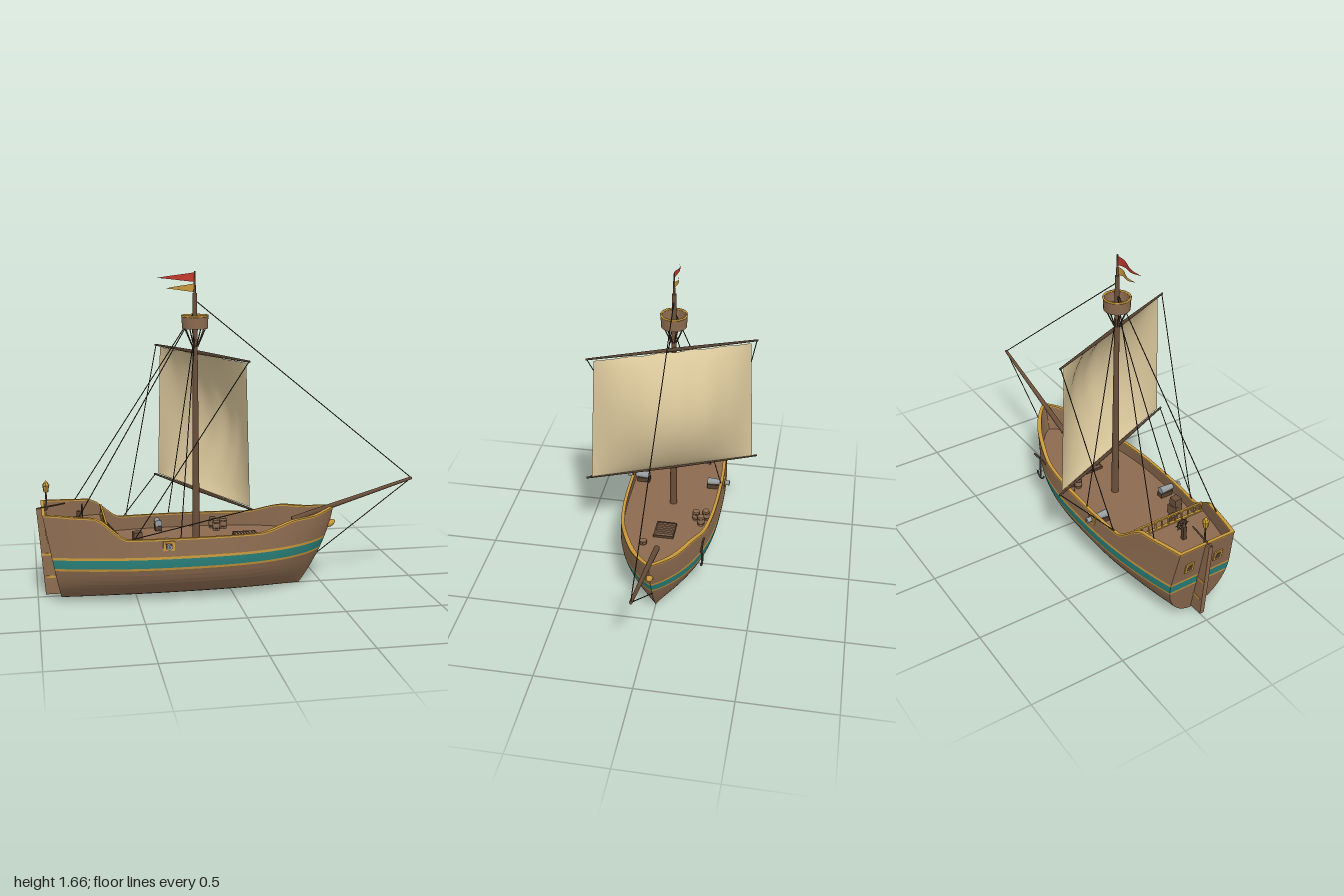
import * as THREE from 'three';
import { toCreasedNormals } from 'three/addons/utils/BufferGeometryUtils.js';

const mat = (name, color, side = THREE.FrontSide) => {
  const m = new THREE.MeshStandardMaterial({ color, side });
  m.name = name;
  return m;
};
const V = (x, y, z) => new THREE.Vector3(x, y, z);
const { lerp, smoothstep } = THREE.MathUtils;

export function createModel() {
  const M = {
    hull: mat('hullBrown', 0x8c6b50), mast: mat('mastBrown', 0x6a4f3a),
    dark: mat('darkWood', 0x54402f), rope: mat('rope', 0x3a3029), gold: mat('gold', 0xc9983b, THREE.DoubleSide),
    teal: mat('teal', 0x2a827d), red: mat('red', 0xc43a2e, THREE.DoubleSide),
    steel: mat('steel', 0x989da2), iron: mat('iron', 0x555c61), sail: mat('canvas', 0xd9c69a, THREE.DoubleSide),
  };
  const ship = new THREE.Group();
  ship.name = 'sailingShip';

  const add = (name, geo, m, x = 0, y = 0, z = 0, parent = ship) => {
    const mesh = new THREE.Mesh(geo, m);
    mesh.name = name;
    mesh.position.set(x, y, z);
    parent.add(mesh);
    return mesh;
  };
  const group = (name, x = 0, y = 0, z = 0) => {
    const g = new THREE.Group();
    g.name = name;
    g.position.set(x, y, z);
    ship.add(g);
    return g;
  };
  const box = (name, w, h, d, m, x, y, z, parent) => add(name, new THREE.BoxGeometry(w, h, d), m, x, y, z, parent);
  const lathe = (points, sides) =>
    toCreasedNormals(new THREE.LatheGeometry(points.map((p) => new THREE.Vector2(...p)), sides), 0.6);
  // round bar from a to b
  const bar = (name, a, b, r0, r1, m, parent, sides = 10) => {
    const d = b.clone().sub(a);
    const mesh = add(name, new THREE.CylinderGeometry(r1, r0, d.length(), sides), m, 0, 0, 0, parent);
    mesh.position.copy(a).add(b).multiplyScalar(0.5);
    mesh.quaternion.setFromUnitVectors(V(0, 1, 0), d.normalize());
    return mesh;
  };
  const rope = (name, a, b) => bar(name, a, b, 0.0026, 0.0026, M.rope, ship, 5);

  // surface through rows of points
  const loft = (rows, closed, crease = 0.6) => {
    const n = rows[0].length, idx = [];
    for (let i = 0; i < rows.length - 1; i++) {
      for (let j = 0; j < (closed ? n : n - 1); j++) {
        const k = (j + 1) % n, a = i * n + j, b = i * n + k, c = b + n, d = a + n;
        idx.push(a, b, c, a, c, d);
      }
    }
    const g = new THREE.BufferGeometry().setFromPoints(rows.flat());
    g.setIndex(idx);
    return toCreasedNormals(g, crease);
  };

  // hull form: plan width, rail height, and a point on the skin
  const N = 64, BILGE = 0.25;
  const nominalX = (u) => lerp(-0.96, 0.56, u);
  const sheer = (u) => {
    const x = nominalX(u);
    return 0.345 + 0.112 * smoothstep(-x, 0.56, 0.73) + 0.013 * smoothstep(-x, 0.73, 0.96)
      + 0.045 * smoothstep(x, 0.12, 0.34) + 0.02 * smoothstep(x, 0.42, 0.56);
  };
  const halfWidth = (u, y) => {
    const x = nominalX(u);
    const w = x < -0.3 ? 0.267 - 0.09 * ((-0.3 - x) / 0.66) ** 2
      : 0.267 * Math.max(0, 1 - ((x + 0.3) / 0.86) ** 3) ** 0.8;
    return w * (y < BILGE ? Math.sqrt(Math.max(0, 1 - ((BILGE - y) / BILGE) ** 2)) : 1 - 0.42 * (y - BILGE));
  };
  const skin = (u, y, inset, s) => V(
    lerp(-0.88 - 0.19 * y + inset, 0.38 + 0.735 * y - 0.69 * y * y - inset * 1.3, u), y,
    s * Math.max(0, halfWidth(u, y) - inset * Math.min(1, (1 - u) * 12)));
  const side = (yf, inset, s, u1 = 1) =>
    Array.from({ length: N + 1 }, (_, i) => {
      const u = u1 * (1 - (1 - i / N) ** 1.3);
      return skin(u, yf(u), inset, s);
    });
  const loop = (yf, inset = 0) => [...side(yf, inset, 1), ...side(yf, inset, -1).reverse().slice(1)];
  const level = (y, inset) => loop(() => y, inset);

  // planked bottom, painted bands, topsides and bulwark
  const bottom = [];
  for (let i = 0; i <= 11; i++) bottom.push(level(BILGE * (1 - Math.cos(Math.acos(1 - 0.188 / BILGE) * i / 11))));
  add('lowerHull', loft(bottom, true, 0.1), M.hull);
  add('lowerGoldBand', loft([level(0.188), level(0.2)], true), M.gold);
  add('tealBand', loft([level(0.2), level(0.222), level(0.246)], true), M.teal);
  add('upperGoldBand', loft([level(0.246), level(0.259)], true), M.gold);
  const upper = [0, 0.25, 0.5, 0.75, 1].map((f) => loop((u) => lerp(0.259, sheer(u), f)));
  add('upperHull', loft(upper, true), M.hull);
  add('innerBulwark', loft([loop(sheer, 0.014), loop(() => 0.265, 0.014)], true), M.hull);
  add('railCap', loft([
    loop((u) => sheer(u) - 0.005, -0.002), loop((u) => sheer(u) + 0.003, -0.002),
    loop((u) => sheer(u) + 0.003, 0.015), loop((u) => sheer(u) - 0.005, 0.015)], true), M.gold);

  // decks and the bulkhead between them
  const deckAt = (name, y, u1) => add(name, loft([side(() => y, 0.01, 1, u1), side(() => y, 0.01, -1, u1)], false), M.hull);
  deckAt('mainDeck', 0.27, 1);
  deckAt('poopDeck', 0.37, 0.2);
  box('bulkhead', 0.012, 0.1, 0.44, M.hull, -0.66, 0.32, 0);
  box('deckEdge', 0.014, 0.01, 0.43, M.gold, -0.656, 0.372, 0);
  const railing = group('poopRailing', -0.656, 0, 0);
  box('topRail', 0.01, 0.008, 0.41, M.gold, 0, 0.422, 0, railing);
  for (let i = 0; i <= 10; i++) box('railPost', 0.007, 0.05, 0.007, M.gold, 0, 0.396, -0.2 + i * 0.04, railing);

  // stairs
  const stairs = group('stairs', -0.62, 0, -0.125);
  for (let i = 0; i < 5; i++) box('step', 0.014, 0.006, 0.045, M.hull, -0.024 + i * 0.015, 0.35 - i * 0.018, 0, stairs);
  for (const s of [-1, 1]) bar('stringer', V(-0.035, 0.37, s * 0.024), V(0.045, 0.272, s * 0.024), 0.004, 0.004, M.dark, stairs, 4);

  // rudder with straps, tiller, stern windows
  const blade = new THREE.Shape([[-0.88, 0.016], [-0.967, 0.47], [-0.997, 0.47], [-0.96, 0.016]].map((p) => new THREE.Vector2(...p)));
  add('rudder', new THREE.ExtrudeGeometry(blade, { depth: 0.024, bevelEnabled: false }), M.hull, 0, 0, -0.012);
  for (const [x, y] of [[-0.947, 0.23], [-0.927, 0.11]]) box('rudderStrap', 0.055, 0.012, 0.03, M.gold, x, y, 0);
  bar('tiller', V(-0.997, 0.468, 0), V(-0.85, 0.492, 0), 0.005, 0.004, M.dark);
  for (const s of [-1, 1]) {
    const w = group('sternWindow', -0.88 - 0.19 * 0.345 - 0.002, 0.345, s * 0.085);
    w.rotation.z = 0.19;
    box('windowFrame', 0.008, 0.06, 0.05, M.gold, 0, 0, 0, w);
    box('windowPane', 0.004, 0.036, 0.028, M.dark, -0.003, 0, 0, w);
  }

  // stern lantern
  const lantern = group('sternLantern', -0.945, 0, 0);
  bar('lanternPole', V(0, 0.46, 0), V(0, 0.56, 0), 0.005, 0.004, M.dark, lantern);
  add('lamp', lathe([[0, 0.55], [0.012, 0.555], [0.017, 0.588], [0.02, 0.59], [0.009, 0.605], [0, 0.615]], 8), M.gold, 0, 0, 0, lantern);

  // steering wheel
  const wheel = group('steeringWheel', -0.765, 0.447, 0);
  box('pedestal', 0.02, 0.077, 0.02, M.dark, -0.018, -0.038, 0, wheel);
  add('wheelRim', new THREE.TorusGeometry(0.026, 0.004, 6, 20), M.dark, 0, 0, 0, wheel).rotation.y = Math.PI / 2;
  for (let i = 0; i < 4; i++) {
    const c = Math.cos(i * Math.PI / 4) * 0.038, s = Math.sin(i * Math.PI / 4) * 0.038;
    bar('spoke', V(0, -c, -s), V(0, c, s), 0.0025, 0.0025, M.dark, wheel, 5);
  }

  // mast and crow's nest
  const MX = -0.175;
  bar('mast', V(MX, 0.26, 0), V(MX, 1.55, 0), 0.02, 0.011, M.mast, ship, 14);
  bar('topmast', V(MX, 1.5, 0), V(MX, 1.66, 0), 0.007, 0.004, M.mast);
  const nest = group('crowsNest', MX, 0, 0);
  add('tub', lathe([[0, 1.372], [0.066, 1.372], [0.069, 1.437], [0.063, 1.437], [0.06, 1.382], [0, 1.382]], 20), M.hull, 0, 0, 0, nest);
  add('tubRim', new THREE.TorusGeometry(0.066, 0.0055, 6, 24), M.gold, 0, 1.436, 0, nest).rotation.x = Math.PI / 2;
  for (let i = 0; i < 8; i++) {
    const a = (i + 0.5) * Math.PI / 4, c = Math.cos(a), s = Math.sin(a);
    bar('strut', V(0.014 * c, 1.28, 0.014 * s), V(0.055 * c, 1.374, 0.055 * s), 0.003, 0.003, M.dark, nest, 5);
  }

  // pennants
  const pennant = (name, m, y, h, len) => {
    const g = new THREE.PlaneGeometry(len, 1, 12, 1), p = g.attributes.position;
    for (let i = 0; i < p.count; i++) {
      const t = 0.5 - p.getX(i) / len;
      p.setXYZ(i, -t * len, p.getY(i) * h * (1 - t) - 0.002 * t, 0.008 * Math.sin(t * 7));
    }
    g.computeVertexNormals();
    add(name, g, m, MX, y, 0);
  };
  pennant('redPennant', M.red, 1.63, 0.048, 0.192);
  pennant('goldPennant', M.gold, 1.577, 0.044, 0.148);

  // yards and billowing sail, turned to the wind
  const YX = -0.152, DX = 0.39, DZ = 0.92;
  const along = (d, y) => V(YX + DX * d, y, DZ * d);
  const yard = (name, y, half) => {
    for (const s of [-1, 1]) bar(name, along(0, y), along(s * half, y), 0.01, 0.005, M.dark);
  };
  yard('upperYard', 1.248, 0.452);
  yard('lowerYard', 0.528, 0.476);
  const cloth = new THREE.PlaneGeometry(2, 1, 40, 28), cp = cloth.attributes.position;
  for (let i = 0; i < cp.count; i++) {
    const s = cp.getX(i), t = cp.getY(i) + 0.5;
    const d = s * lerp(0.447, 0.414, t);
    const b = 0.15 * Math.cos(s * Math.PI / 2) * Math.sin(Math.PI * t) ** 0.8
      + 0.006 * Math.sin(15 * s + 2 * t) * t * (1 - s * s) + 0.006;
    cp.setXYZ(i, YX + DX * d + DZ * b, lerp(0.535, 1.238, t), DZ * d - DX * b);
  }
  cloth.computeVertexNormals();
  add('sail', cloth, M.sail);

  // bowsprit and figurehead
  bar('bowsprit', V(0.34, 0.348, 0), V(1, 0.548, 0), 0.016, 0.008, M.mast);
  const head = add('figurehead', new THREE.SphereGeometry(0.02, 14, 10), M.gold, 0.548, 0.318, 0);
  head.scale.set(1.6, 0.9, 0.9);
  head.rotation.z = 0.5;

  // rigging
  rope('forestay', V(MX, 1.515, 0), V(0.998, 0.548, 0));
  rope('bobstay', V(0.998, 0.548, 0), V(0.465, 0.15, 0));
  for (const s of [-1, 1]) {
    rope('backstay', V(MX, 1.46, 0), V(-0.8, 0.45, s * 0.19));
    rope('shroud', V(MX, 1.36, 0), V(-0.29, 0.345, s * 0.25));
    rope('sheet', along(s * 0.47, 0.528), V(-0.53, 0.35, s * 0.24));
    rope('brace', along(s * 0.446, 1.248), V(-0.52, 0.35, s * 0.24));
  }

  // cannons with framed gun ports
  for (const s of [-1, 1]) {
    const gun = group('cannon', -0.352, 0.313, 0);
    bar('barrel', V(0, 0, s * 0.168), V(0, 0, s * 0.29), 0.02, 0.012, M.steel, gun, 14);
    bar('muzzleRing', V(0, 0, s * 0.278), V(0, 0, s * 0.291), 0.014, 0.014, M.steel, gun, 14);
    bar('bore', V(0, 0, s * 0.28), V(0, 0, s * 0.292), 0.006, 0.006, M.iron, gun);
    box('carriage', 0.036, 0.026, 0.07, M.dark, 0, -0.026, s * 0.2, gun);
    box('portFrame', 0.058, 0.048, 0.009, M.gold, 0, 0, s * 0.2605, gun);
    box('portOpening', 0.034, 0.03, 0.004, M.dark, 0, 0, s * 0.2635, gun);
  }

  // deck cargo
  for (const [x, z] of [[-0.055, -0.2], [0, -0.18], [-0.042, -0.148], [0.215, 0.097]]) {
    const h = x > 0.1 ? 0.4 : 1;
    add('cask', lathe([[0, 0], [0.018, 0], [0.021, 0.028 * h], [0.018, 0.056 * h], [0, 0.056 * h]], 14), M.hull, x, 0.27, z);
    for (const y of [0.013, 0.043]) add('caskHoop', new THREE.TorusGeometry(0.0195, 0.0022, 5, 14), M.dark, x, 0.27 + y * h, z).rotation.x = Math.PI / 2;
  }
  for (const [x, y, z, w, r] of [[-0.495, 0.297, 0.16, 0.054, 0.3], [-0.545, 0.288, 0.11, 0.036, 0], [-0.5, 0.345, 0.16, 0.044, 0.1]]) {
    box('crate', w, w, w, M.mast, x, y, z).rotation.y = r;
  }

  // hatch grating
  const hatch = group('hatch', 0.09, 0.275, 0);
  for (const s of [-1, 1]) {
    box('hatchSide', 0.124, 0.018, 0.008, M.dark, 0, 0, s * 0.05, hatch);
    box('hatchEnd', 0.008, 0.018, 0.1, M.dark, s * 0.058, 0, 0, hatch);
  }
  for (let i = -3; i <= 3; i++) box('hatchSlat', 0.011, 0.014, 0.096, M.hull, i * 0.0155, 0, 0, hatch);

  // anchor hung at the bow
  const anchor = group('anchor', 0.232, 0, -0.222);
  bar('shank', V(0, 0.19, 0), V(0, 0.33, 0), 0.005, 0.005, M.iron, anchor, 8);
  bar('stock', V(-0.06, 0.315, 0), V(0.06, 0.315, 0), 0.005, 0.005, M.dark, anchor, 8);
  add('flukes', new THREE.TorusGeometry(0.034, 0.005, 6, 14, Math.PI), M.iron, 0, 0.222, 0, anchor).rotation.z = Math.PI;
  return ship;
}
